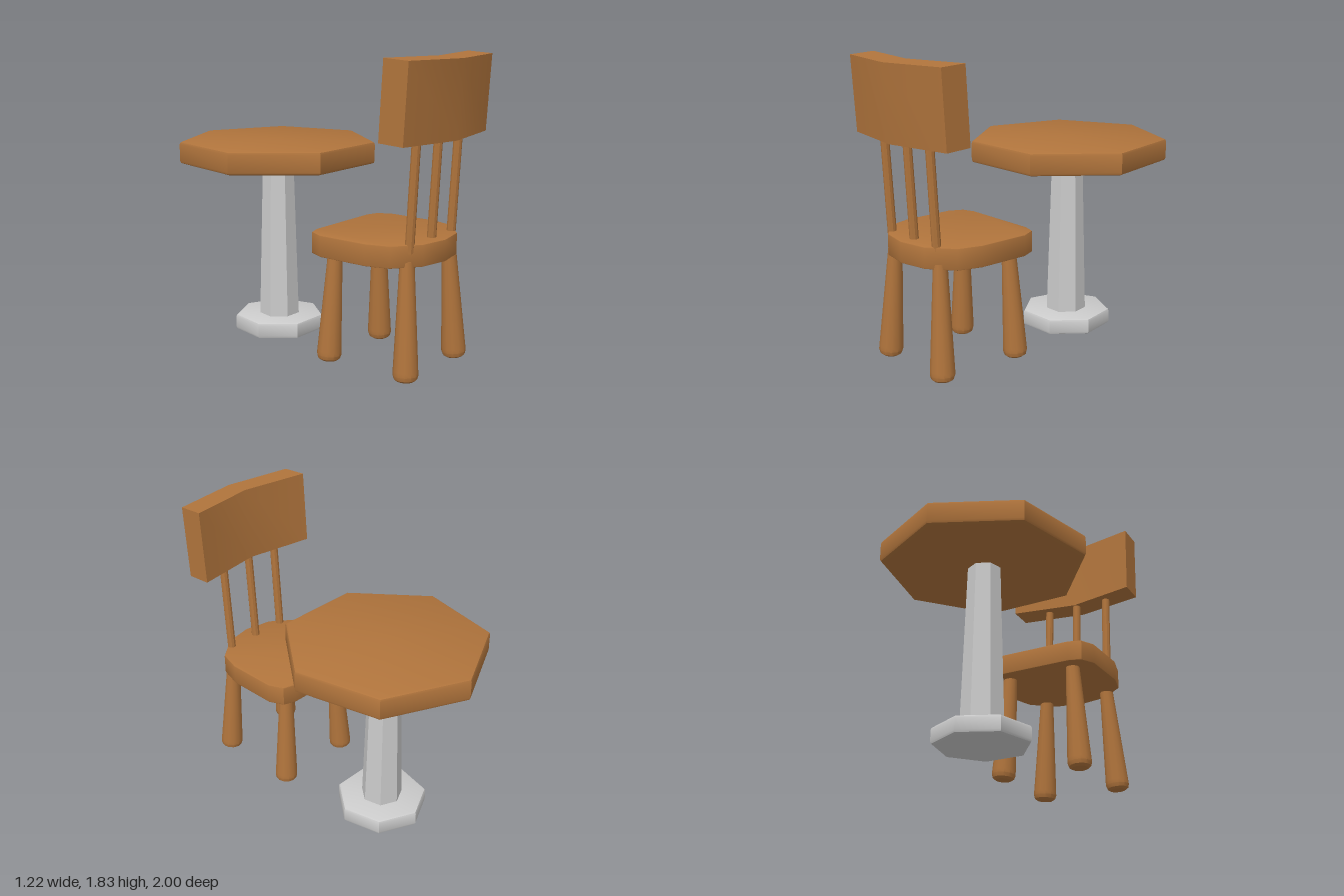
import * as THREE from 'three';
import { toCreasedNormals } from 'three/addons/utils/BufferGeometryUtils.js';

const wood = new THREE.MeshStandardMaterial({ color: 0xb0743c });
const grey = new THREE.MeshStandardMaterial({ color: 0xcccccc });

function part(parent, name, geometry, material, crease = 0.6) {
  const mesh = new THREE.Mesh(toCreasedNormals(geometry, crease), material);
  mesh.name = name;
  parent.add(mesh);
  return mesh;
}

// Turned solid from [radius, height] pairs
const turned = (profile, sides) =>
  new THREE.LatheGeometry(profile.map(([r, y]) => new THREE.Vector2(r, y)), sides);

// Disc with softened rims
const disc = (r, y0, y1, b) => turned([
  [0, y0], [r - b, y0], [r - b * 0.3, y0 + b * 0.3], [r, y0 + b],
  [r, y1 - b], [r - b * 0.3, y1 - b * 0.3], [r - b, y1], [0, y1],
], 7);

// Upright slab from an outline of [x, z] points
function slab(outline, height, bevel = 0) {
  const shape = new THREE.Shape(outline.map(([x, z]) => new THREE.Vector2(x, -z)));
  return new THREE.ExtrudeGeometry(shape, {
    depth: height - 2 * bevel, bevelEnabled: bevel > 0,
    bevelSize: bevel, bevelOffset: -bevel, bevelThickness: bevel, bevelSegments: 2,
  }).rotateX(-Math.PI / 2).translate(0, bevel, 0);
}

// Turn a y-aligned solid at the origin so it runs from a towards b
function aim(mesh, a, b) {
  mesh.position.copy(a);
  mesh.quaternion.setFromUnitVectors(new THREE.Vector3(0, 1, 0), b.clone().sub(a).normalize());
}

export function createModel() {
  const model = new THREE.Group();

  // Seven-sided pedestal table, one corner pointing backwards
  const table = new THREE.Group();
  table.name = 'table';
  table.position.z = -0.373;
  table.rotation.y = Math.PI;
  model.add(table);
  part(table, 'tableTop', disc(0.627, 1.12, 1.26, 0.018), wood);
  part(table, 'tableColumn', turned([[0.131, 0.08], [0.1, 1.14]], 7), grey);
  part(table, 'tableBase', disc(0.289, 0.005, 0.108, 0.018), grey);

  // Chair, slightly off the table's centre line
  const chair = new THREE.Group();
  chair.name = 'chair';
  chair.position.x = -0.03;
  model.add(chair);

  // Seat with clipped front corners and a bowed back
  const half = [[0.25, 0.17], [0.33, 0.198], [0.372, 0.29], [0.372, 0.61], [0.33, 0.755], [0.18, 0.875]];
  const outline = [...half, [0, 0.91], ...half.slice().reverse().map(([x, z]) => [-x, z])].reverse();
  part(chair, 'seat', slab(outline, 0.13, 0.006), wood, 0.75).position.y = 0.67;

  // Splayed legs, thicker towards rounded feet
  for (const side of [-1, 1]) {
    for (const [name, zFoot, zTop] of [['frontLeg', 0.272, 0.29], ['backLeg', 0.826, 0.797]]) {
      const leg = part(chair, name, turned([
        [0, 0], [0.05, 0], [0.067, 0.012], [0.074, 0.035], [0.073, 0.06], [0.042, 0.69], [0, 0.69],
      ], 12), wood);
      aim(leg, new THREE.Vector3(side * 0.263, 0.01, zFoot), new THREE.Vector3(side * 0.222, 0.69, zTop));
    }
  }

  // Leaning back spindles
  for (const x of [-0.224, 0, 0.214]) {
    const spindle = part(chair, 'spindle', new THREE.CylinderGeometry(0.026, 0.027, 0.68, 10).translate(0, 0.34, 0), wood);
    aim(spindle, new THREE.Vector3(x, 0.75, 0.812), new THREE.Vector3(x, 1.4, 0.847));
  }

  // V-bent backrest, tilted backwards
  const bend = [[-0.435, 0.045], [0, 0.115], [0.435, 0.045], [0.435, -0.115], [0, -0.04], [-0.435, -0.115]];
  const backrest = part(chair, 'backrest', slab(bend, 0.455), wood);
  backrest.position.set(0.003, 1.378, 0.853);
  backrest.rotation.x = 0.06;

  return model;
}
